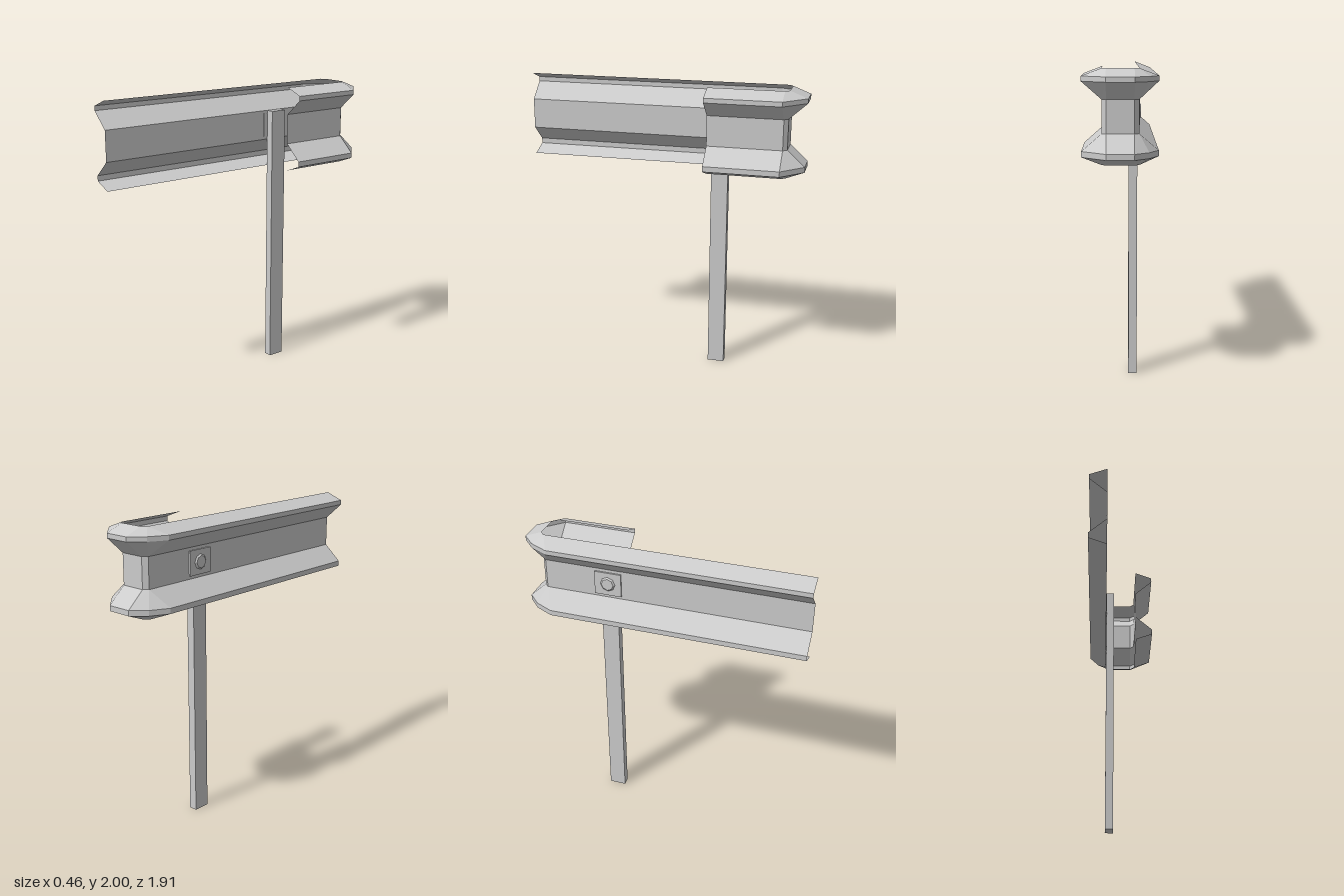
import * as THREE from 'three';

const material = new THREE.MeshStandardMaterial({ color: 0xcccccc, flatShading: true, side: THREE.DoubleSide });

// Rail cross-section: [0 = web line, 1 = outer lip line, height]
const profile = [
  [0, 2.0], [1, 1.955], [1, 1.925], [0, 1.82],
  [0, 1.62], [1, 1.515], [1, 1.48], [0, 1.435],
];

// Stations along the rail: web x, z and lip x, z
const stations = [
  [-0.112, 0.953, -0.23, 0.953],
  [-0.112, -0.81, -0.23, -0.75],
  [-0.112, -0.81, -0.17, -0.87],
  [-0.083, -0.837, -0.083, -0.953],
  [0.083, -0.837, 0.083, -0.953],
  [0.11, -0.81, 0.23, -0.81],
  [0.11, -0.317, 0.23, -0.317],
];

// Sweeps the folded sheet profile through the stations
function sheetGeometry() {
  const rings = stations.map(([wx, wz, lx, lz]) => profile.map(([t, y]) =>
    new THREE.Vector3(t ? lx : wx, y, t ? lz : wz)));
  const points = [];
  const triangle = (a, b, c) => {
    const area = b.clone().sub(a).cross(c.clone().sub(a)).length();
    if (area > 1e-6) points.push(a, b, c); // skips collapsed corners
  };
  for (let i = 0; i < rings.length - 1; i++) {
    for (let j = 0; j < profile.length - 1; j++) {
      const a = rings[i][j], b = rings[i + 1][j];
      const c = rings[i + 1][j + 1], d = rings[i][j + 1];
      triangle(a, b, c);
      triangle(a, c, d);
    }
  }
  const geometry = new THREE.BufferGeometry().setFromPoints(points);
  geometry.computeVertexNormals();
  return geometry;
}

export function createModel() {
  const group = new THREE.Group();
  const add = (name, geometry, x = 0, y = 0, z = 0) => {
    const mesh = new THREE.Mesh(geometry, material);
    mesh.name = name;
    mesh.position.set(x, y, z);
    group.add(mesh);
    return mesh;
  };

  // Folded rail with its hooked end
  add('rail', sheetGeometry());

  // Post behind the web
  add('post', new THREE.BoxGeometry(0.055, 1.82, 0.113), -0.081, 0.91, -0.376);

  // Mounting plate through the web, with a bolt head outside
  add('mountingPlate', new THREE.BoxGeometry(0.017, 0.16, 0.18), -0.1145, 1.72, -0.38);
  const bolt = add('boltHead', new THREE.CylinderGeometry(0.04, 0.05, 0.009, 8), -0.1275, 1.72, -0.38);
  bolt.rotation.z = Math.PI / 2;

  return group;
}
